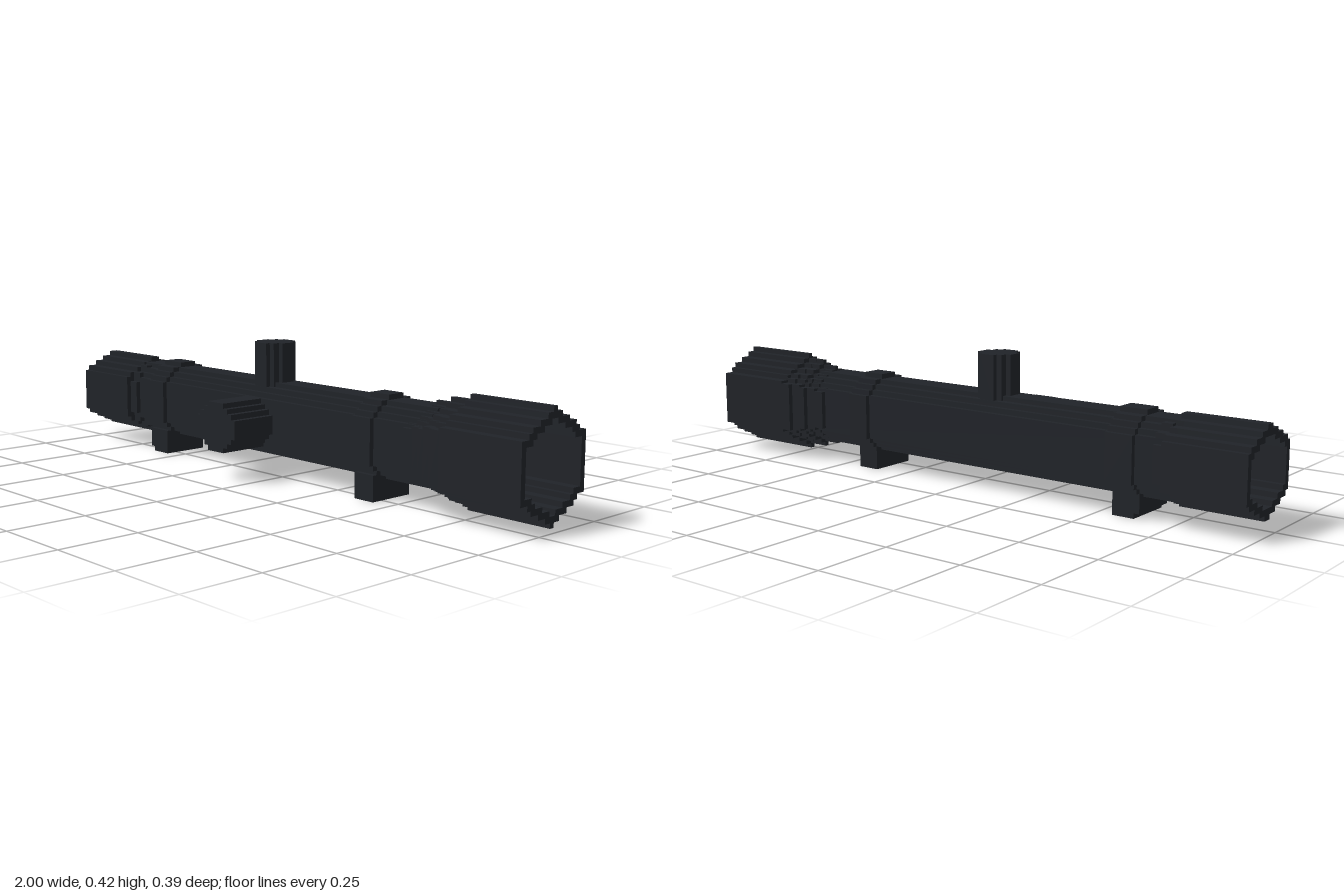
import * as THREE from 'three';

const CY = 0.18, CZ = -0.055;   // axis of the tube
const WALL = 0.018;
const material = new THREE.MeshStandardMaterial({ color: 0x202328, flatShading: true });

// Stepped, doubly symmetric outline from [halfWidth, halfHeight] steps of one quarter
function outline(steps, PathClass = THREE.Shape) {
  const q = [];
  steps.forEach(([w, h], i) => {
    if (i > 0) q.push([w, steps[i - 1][1]]);
    q.push([w, h]);
  });
  const r = [...q].reverse();
  const pts = [
    ...q,
    ...r.map(([x, y]) => [-x, y]),
    ...q.map(([x, y]) => [-x, -y]),
    ...r.map(([x, y]) => [x, -y]),
  ];
  return new PathClass(pts.map(([x, y]) => new THREE.Vector2(x, y)));
}

function prism(steps, depth, hole) {
  const shape = outline(steps);
  if (hole) shape.holes.push(outline(hole, THREE.Path));
  return new THREE.ExtrudeGeometry(shape, { depth, bevelEnabled: false });
}

const shrink = (steps) => steps.map(([w, h]) => [w - WALL, h - WALL]).filter(([w]) => w > 0.003);

// Cross-sections
const BORE = [[0.079, 0.055], [0.063, 0.071], [0.031, 0.087]];
const TUBE = [[0.095, 0.071], [0.079, 0.087], [0.063, 0.103], [0.04, 0.117]];
const RING = [[0.11, 0.071], [0.095, 0.087], [0.079, 0.103], [0.063, 0.118], [0.031, 0.133]];
const EYE = [[0.125, 0.071], [0.11, 0.087], [0.079, 0.103], [0.047, 0.118], [0.016, 0.133]];
const BELL = [[0.14, 0.087], [0.11, 0.103], [0.095, 0.118], [0.063, 0.134], [0.031, 0.15], [0.008, 0.165]];
const bell = (w, h) => BELL.map(([a, b]) => [a * w / 0.14, b * h / 0.165]);

export function createModel() {
  const group = new THREE.Group();

  const add = (name, geometry, x, y, z) => {
    const mesh = new THREE.Mesh(geometry, material);
    mesh.name = name;
    mesh.position.set(x, y, z);
    group.add(mesh);
  };
  // Hollow length of the body between two x positions
  const sleeve = (name, x0, x1, steps, hole) =>
    add(name, prism(steps, x1 - x0, hole).rotateY(Math.PI / 2), x0, CY, CZ);

  sleeve('mainTube', -0.77, 0.63, TUBE, BORE);

  // Eyepiece and its shoulder
  sleeve('eyepiece', -1, -0.765, EYE, shrink(EYE));
  sleeve('eyepieceShoulder', -0.767, -0.74, EYE, BORE);
  sleeve('eyepieceCollar', -0.741, -0.705, [[0.11, 0.055], [0.095, 0.087], [0.063, 0.11]], BORE);

  // Objective bell, widening sideways and upwards in turn
  [
    [0.56, 0.597, 0.11, 0.117],
    [0.595, 0.632, 0.11, 0.133],
    [0.63, 0.652, 0.125, 0.133],
    [0.65, 0.687, 0.125, 0.149],
    [0.685, 0.722, 0.14, 0.149],
    [0.72, 1, 0.14, 0.165],
  ].forEach(([x0, x1, w, h], i) => {
    const steps = bell(w, h);
    sleeve(i < 5 ? 'objectiveStep' : 'objectiveBell', x0, x1, steps, i < 2 ? BORE : shrink(steps));
  });

  // Mount rings with their feet
  for (const [name, x0, x1] of [['rearMount', -0.64, -0.55], ['frontMount', 0.36, 0.435]]) {
    sleeve(name + 'Ring', x0, x1, RING, BORE);
    const start = name === 'rearMount' ? -0.622 : x0;
    add(name + 'Foot', new THREE.BoxGeometry(x1 - start, 0.08, 0.157), (start + x1) / 2, 0.04, -0.039);
  }
  add('rearMountLip', new THREE.BoxGeometry(0.03, 0.064, 0.157), -0.625, 0.048, -0.039);

  // Adjustment turrets
  const TOP = [[0.062, 0.024], [0.045, 0.047], [0.026, 0.062]];
  add('topTurret', prism(TOP, 0.143).rotateX(-Math.PI / 2), -0.095, 0.28, CZ);
  const SIDE = [[0.093, 0.03], [0.075, 0.047], [0.056, 0.062], [0.037, 0.078]];
  add('sideTurret', prism(SIDE, 0.167), -0.095, 0.173, 0.03);

  return group;
}
